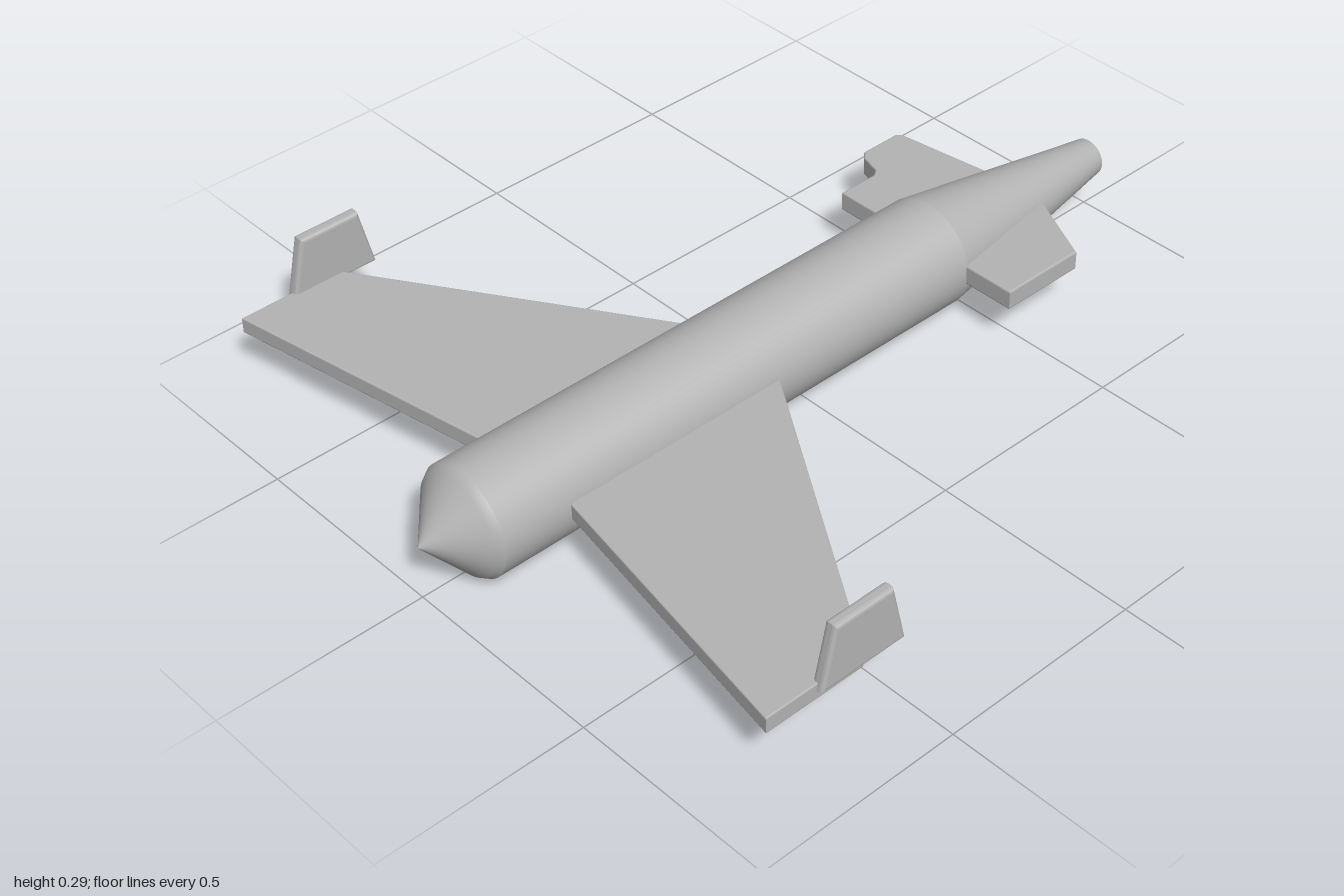
import * as THREE from 'three';

const AXIS_Y = 0.133;
const R = 0.132;

export function createModel() {
  const model = new THREE.Group();
  model.name = 'aircraft';
  const grey = new THREE.MeshStandardMaterial({ color: 0xb4b4b4 });
  grey.name = 'plain grey';
  const greyOpen = new THREE.MeshStandardMaterial({ color: 0xb4b4b4, side: THREE.DoubleSide });
  greyOpen.name = 'plain grey open shell';

  const add = (name, geometry, material = grey) => {
    const mesh = new THREE.Mesh(geometry, material);
    mesh.name = name;
    model.add(mesh);
    return mesh;
  };

  // Body sections run along x, each an open surface of revolution
  const section = (name, profile) => {
    const points = profile.map(([x, r]) => new THREE.Vector2(r, x));
    const mesh = add(name, new THREE.LatheGeometry(points, 64), greyOpen);
    mesh.rotation.z = -Math.PI / 2;
    mesh.position.y = AXIS_Y;
  };
  section('noseCone', [[-1, 0], [-0.9, 0.119], [-0.88, R]]);
  section('fuselage', [[-0.88, R], [0.45, R]]);
  section('tailCone', [[0.45, R], [1, 0.046]]);

  // Flat slab from an (x, z) outline, between two heights
  const slab = (name, outline, y0, y1, bevel = 0) => {
    const shape = new THREE.Shape(outline.map(([x, z]) => new THREE.Vector2(x, -z)));
    const geometry = new THREE.ExtrudeGeometry(shape, {
      depth: y1 - y0 - 2 * bevel, bevelEnabled: bevel > 0,
      bevelThickness: bevel, bevelSize: bevel, bevelOffset: -bevel, bevelSegments: 2,
    });
    geometry.rotateX(-Math.PI / 2);
    geometry.translate(0, y0 + bevel, 0);
    return add(name, geometry);
  };

  for (const s of [1, -1]) {
    const side = s > 0 ? 'front' : 'back';
    // Swept main wing
    slab(side + 'Wing', [[-0.687, 0], [-0.047, 0], [-0.58, 0.835 * s], [-0.835, 0.835 * s]], 0.117, 0.157, 0.003);

    // Upright tip fin with softened edges
    const fin = new THREE.Shape([[-0.705, 0.14], [-0.48, 0.14], [-0.515, 0.29], [-0.67, 0.29]]
      .map(([x, y]) => new THREE.Vector2(x, y)));
    const geometry = new THREE.ExtrudeGeometry(fin, {
      depth: 0.012, bevelThickness: 0.009, bevelSize: 0.009, bevelOffset: -0.009, bevelSegments: 3,
    });
    geometry.translate(0, 0, -0.006 + 0.835 * s);
    add(side + 'TipFin', geometry);
  }

  // Small tailplanes, one plain and one stepped
  slab('frontTailplane', [[0.445, 0.05], [0.445, 0.262], [0.665, 0.262], [0.767, 0.05]], 0.113, 0.162, 0.004);
  slab('backTailplane', [
    [0.445, 0], [0.765, 0], [0.718, -0.335], [0.708, -0.35], [0.6, -0.35],
    [0.583, -0.333], [0.567, -0.28], [0.55, -0.267], [0.445, -0.267],
  ], 0.113, 0.162, 0.004);

  return model;
}
